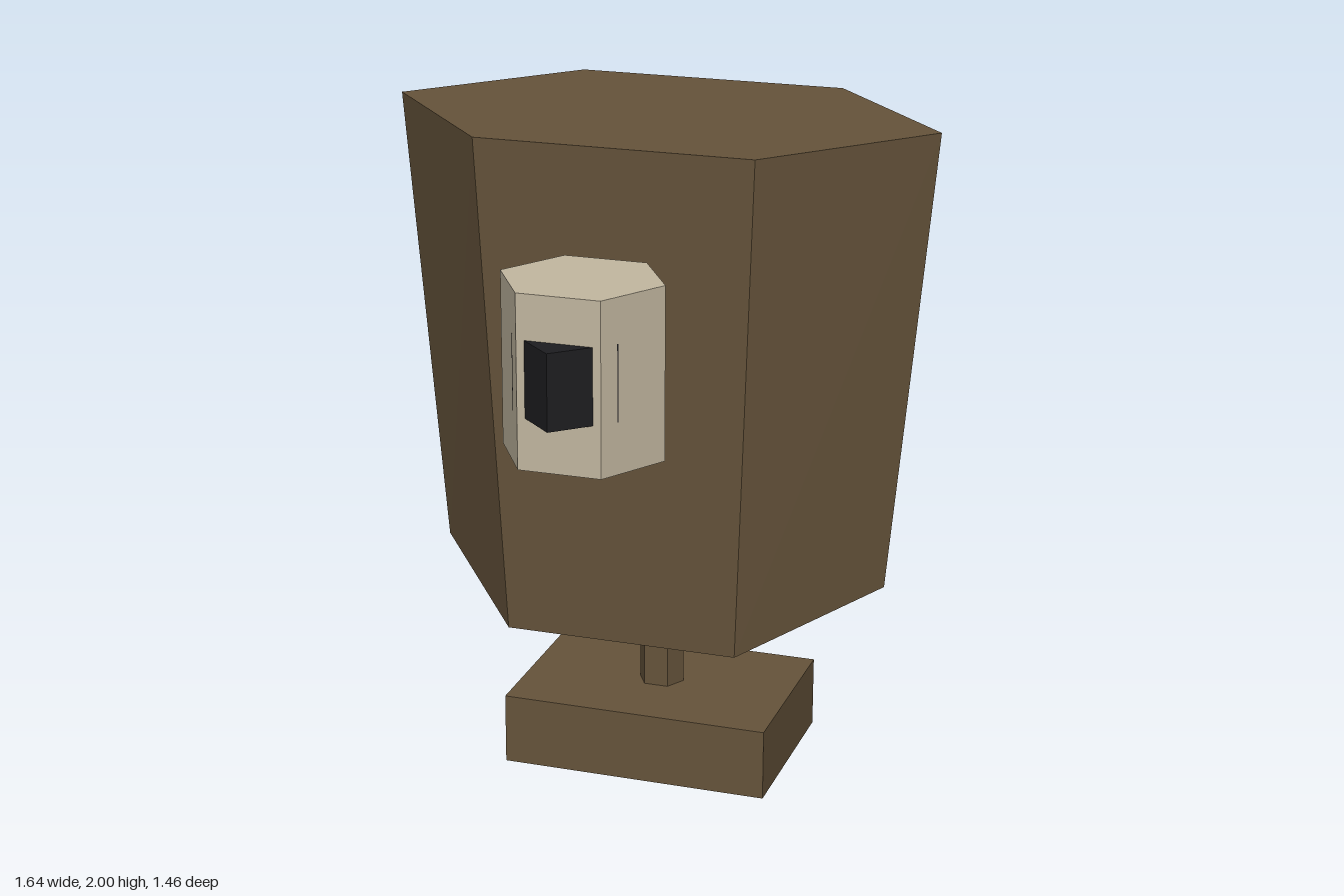
import * as THREE from 'three';

const flat = (name, color) => {
  const m = new THREE.MeshStandardMaterial({ color, side: THREE.DoubleSide });
  m.name = name;
  return m;
};

// Prism shell, closed on top and open below. Rings are [x, y, z] corners,
// counter-clockwise when seen from above.
function shell(top, bottom) {
  const pos = [];
  const n = top.length;
  for (let i = 0; i < n; i++) {
    const j = (i + 1) % n;
    pos.push(...bottom[i], ...bottom[j], ...top[j], ...bottom[i], ...top[j], ...top[i]);
    if (i > 0 && i < n - 1) pos.push(...top[0], ...top[i], ...top[j]);
  }
  const g = new THREE.BufferGeometry();
  g.setAttribute('position', new THREE.Float32BufferAttribute(pos, 3));
  g.computeVertexNormals();
  return g;
}

// Six corners: flat front and back edges, points at the sides; height may vary with z.
function hexRing(halfWidth, halfFlat, halfDepth, zc, height) {
  return [[1, 0], [0, -1], [0, -1], [-1, 0], [0, 1], [0, 1]].map(([s, d], i) => {
    const x = s ? s * halfWidth : (i === 1 || i === 5 ? halfFlat : -halfFlat);
    const z = zc + d * halfDepth;
    return [x, height(z), z];
  });
}

export function createModel() {
  const group = new THREE.Group();
  const brown = flat('brown', 0x66543b);
  const cream = flat('cream', 0xc3b8a1);
  const black = flat('black', 0x1d1d20);
  const add = (name, geometry, material) => {
    const mesh = new THREE.Mesh(geometry, material);
    mesh.name = name;
    group.add(mesh);
  };

  // Tapered hexagonal body with a slanted open underside
  add('body', shell(
    hexRing(0.818, 0.41, 0.465, -0.265, () => 2),
    hexRing(0.695, 0.35, 0.395, -0.26, (z) => 0.612 - (z + 0.26) * 0.285),
  ), brown);

  // Post running up into the body
  add('post', shell(
    hexRing(0.07, 0.037, 0.058, -0.262, () => 1.9),
    hexRing(0.07, 0.037, 0.058, -0.262, () => 0.21),
  ), brown);

  // Hollow foot
  const rect = (y) => [[0.41, y, 0.02], [0.41, y, -0.545], [-0.41, y, -0.545], [-0.41, y, 0.02]];
  add('foot', shell(rect(0.217), rect(0)), brown);

  // Hexagonal head floating in front of the body
  add('head', shell(
    hexRing(0.237, 0.12, 0.193, 0.445, () => 1.7),
    hexRing(0.237, 0.12, 0.193, 0.445, () => 1.2),
  ), cream);

  // Triangular snout whose rear corners just reach the head's slanted sides
  const tri = (y) => [[0, y, 0.728], [0.152, y, 0.587], [-0.152, y, 0.587]];
  add('snout', shell(tri(1.57), tri(1.35)), black);

  return group;
}
